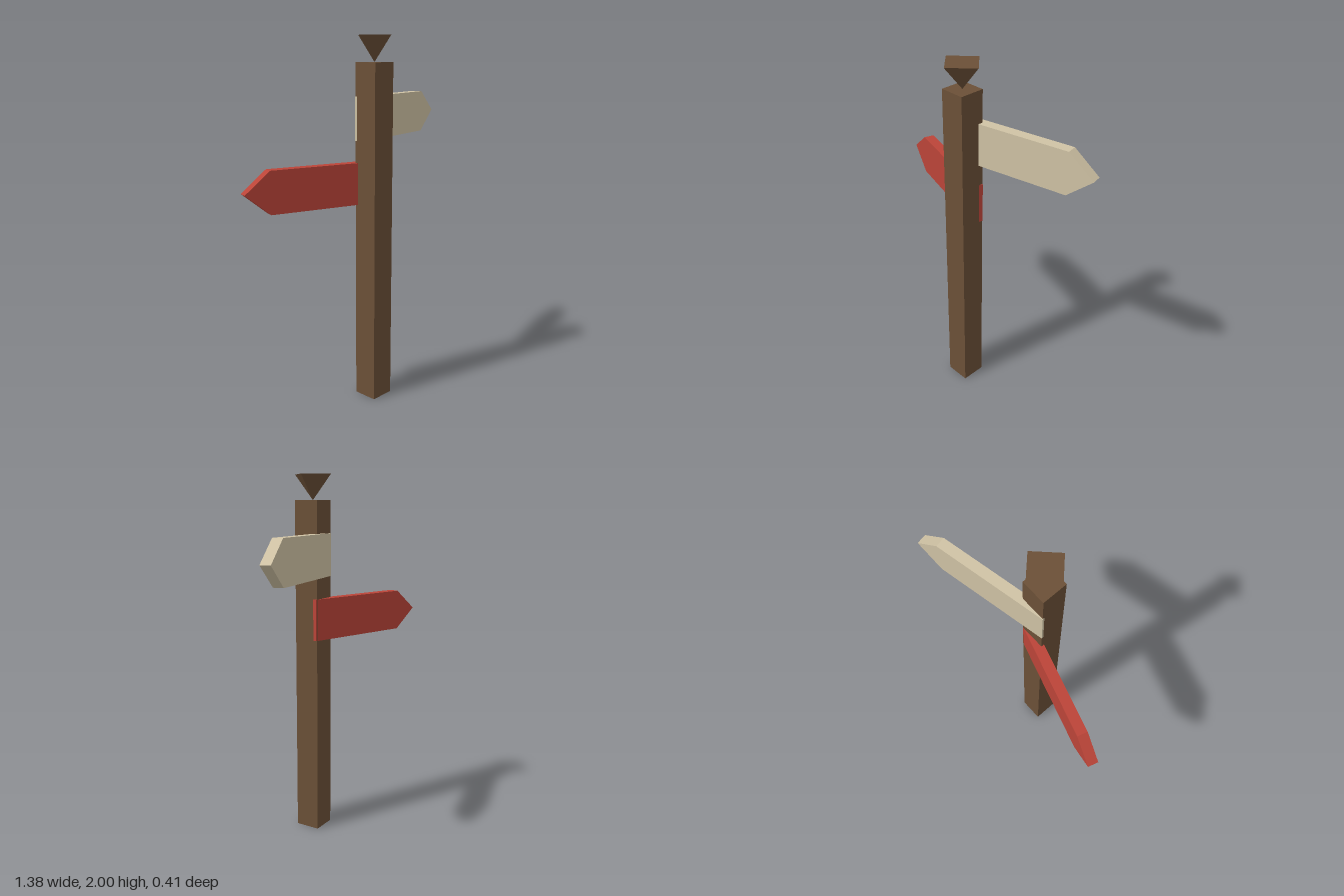
import * as THREE from 'three';

function material(name, color) {
  const m = new THREE.MeshStandardMaterial({ color });
  m.name = name;
  return m;
}

// Arrow board: flat inner end at the local origin, tip pointing along side * x.
function arrowBoard(name, mat, side, height, angle, position) {
  const length = 0.777, shoulder = 0.638, thickness = 0.057, h = height / 2;
  const outline = [[0, -h], [shoulder, -h], [length, 0], [shoulder, h], [0, h]];
  const shape = new THREE.Shape(outline.map(([x, y]) => new THREE.Vector2(side * x, y)));
  const geometry = new THREE.ExtrudeGeometry(shape, { depth: thickness, bevelEnabled: false });
  geometry.translate(0, 0, -thickness);
  const mesh = new THREE.Mesh(geometry, mat);
  mesh.name = name;
  mesh.position.set(...position);
  mesh.rotation.y = side * THREE.MathUtils.degToRad(angle); // tips swing backwards
  return mesh;
}

export function createModel() {
  const wood = material('brown wood', 0x6b5037);
  const red = material('red paint', 0xbb4438);
  const cream = material('cream paint', 0xd0c3a5);
  const model = new THREE.Group();
  model.name = 'signpost';
  const cx = -0.011, cz = 0.087;

  // Square post
  const post = new THREE.Mesh(new THREE.BoxGeometry(0.139, 1.865, 0.139), wood);
  post.name = 'post';
  post.position.set(cx, 1.865 / 2, cz);
  model.add(post);

  // Upside-down pyramid balanced on the post
  const capGeometry = new THREE.CylinderGeometry(0.114, 0, 0.135, 4).toNonIndexed();
  capGeometry.computeVertexNormals();
  const cap = new THREE.Mesh(capGeometry, wood);
  cap.name = 'cap';
  cap.position.set(cx, 2 - 0.135 / 2, cz);
  model.add(cap);

  // Two arrow boards
  model.add(arrowBoard('upperSign', cream, 1, 0.233, 11.2, [-0.072, 1.573, 0.071]));
  model.add(arrowBoard('lowerSign', red, -1, 0.228, 17.1, [0.0485, 1.225, 0.075]));
  return model;
}
